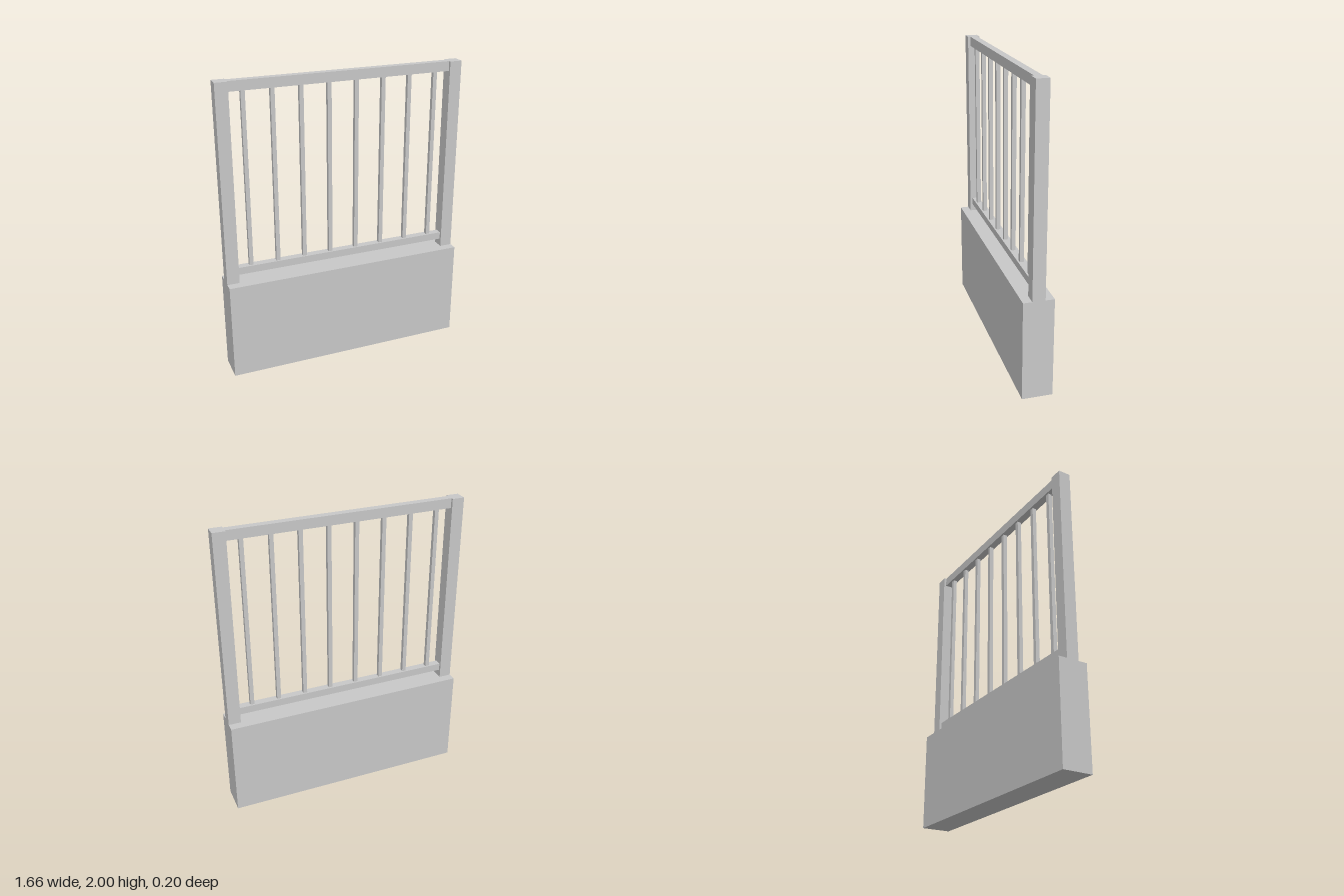
import * as THREE from 'three';

export function createModel() {
  const group = new THREE.Group();
  const grey = new THREE.MeshStandardMaterial({ color: 0xc8c8c8 });
  grey.name = 'lightGrey';

  // Box spanning y0..y1, centred on x and z = 0
  const box = (name, x, y0, y1, width, depth) => {
    const mesh = new THREE.Mesh(new THREE.BoxGeometry(width, y1 - y0, depth), grey);
    mesh.name = name;
    mesh.position.set(x, (y0 + y1) / 2, 0);
    group.add(mesh);
  };

  const width = 1.656, wallTop = 0.667, post = 0.083;
  const span = width - 2 * post;

  // Solid base wall
  box('baseWall', 0, 0, wallTop, width, 0.2);

  // End posts
  box('leftPost', (width - post) / 2, wallTop, 2, post, post);
  box('rightPost', -(width - post) / 2, wallTop, 2, post, post);

  // Horizontal rails
  box('topRail', 0, 1.935, 2, span, 0.05);
  box('bottomRail', 0, 0.718, 0.768, span, 0.05);

  // Vertical bars, evenly spaced
  const bars = 8, reach = 0.651;
  for (let i = 0; i < bars; i++) {
    const x = -reach + (2 * reach * i) / (bars - 1);
    box(`bar${i + 1}`, x, 0.768, 1.935, 0.027, 0.027);
  }

  return group;
}
